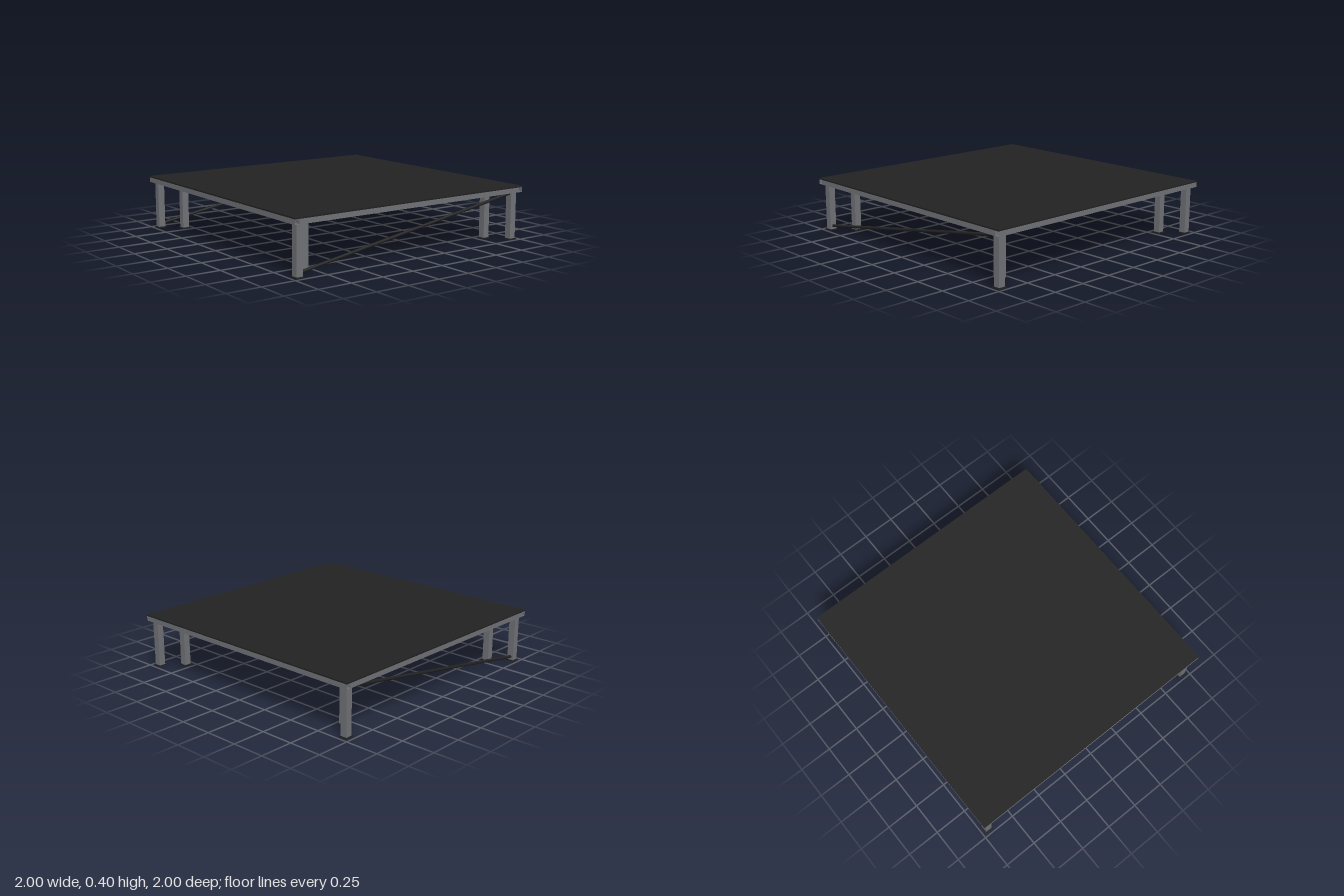
import * as THREE from 'three';

const steel = new THREE.MeshStandardMaterial({ color: 0x707277 });
steel.name = 'grey steel';
const black = new THREE.MeshStandardMaterial({ color: 0x222222 });
black.name = 'matte black';

const TOP = 0.4, DECK = 0.01, TUBE = 0.036, WALL = 0.003;
const LEG = 0.05, FOOT = 0.064, FOOT_H = 0.008;
const BEAM_Y = TOP - DECK - TUBE / 2;
const BEAM_BOTTOM = TOP - DECK - TUBE;

// Hollow square tube, centred, running along z
function tubeGeometry(length) {
  const square = (Type, h) => new Type([[-h, -h], [h, -h], [h, h], [-h, h]].map(([x, y]) => new THREE.Vector2(x, y)));
  const shape = square(THREE.Shape, TUBE / 2);
  shape.holes.push(square(THREE.Path, TUBE / 2 - WALL));
  const geometry = new THREE.ExtrudeGeometry(shape, { depth: length, bevelEnabled: false });
  return geometry.translate(0, 0, -length / 2);
}

export function createModel() {
  const model = new THREE.Group();
  model.name = 'stagePlatform';

  function add(name, geometry, material, x, y, z) {
    const mesh = new THREE.Mesh(geometry, material);
    mesh.name = name;
    mesh.position.set(x, y, z);
    model.add(mesh);
    return mesh;
  }

  // Deck board
  add('deck', new THREE.BoxGeometry(2, DECK, 2), black, 0, TOP - DECK / 2, 0);

  // Outer frame: open-ended front and back rails, side rails between them
  const inner = 2 - 2 * TUBE;
  const edge = 1 - TUBE / 2;
  for (const s of [-1, 1]) {
    add(s > 0 ? 'frontRail' : 'backRail', tubeGeometry(2), steel, 0, BEAM_Y, s * edge).rotation.y = Math.PI / 2;
    add(s > 0 ? 'leftRail' : 'rightRail', tubeGeometry(inner), steel, s * edge, BEAM_Y, 0);
  }

  // Under-deck grid: full cross beams, with short beams fitted between them
  const lines = [-0.81, 0, 0.81];
  const stops = [-1 + TUBE / 2, ...lines, 1 - TUBE / 2];
  for (const p of lines) {
    add('crossBeam', new THREE.BoxGeometry(inner, TUBE, TUBE), steel, 0, BEAM_Y, p);
    for (let i = 0; i < stops.length - 1; i++) {
      const length = stops[i + 1] - stops[i] - TUBE;
      add('shortBeam', new THREE.BoxGeometry(TUBE, TUBE, length), steel, p, BEAM_Y, (stops[i] + stops[i + 1]) / 2);
    }
  }

  // A pair of legs on the diagonal of each corner, each on a foot plate
  const legHeight = BEAM_BOTTOM - FOOT_H;
  for (const sx of [-1, 1]) for (const sz of [-1, 1]) for (const d of [0.81, 0.945]) {
    add('leg', new THREE.BoxGeometry(LEG, legHeight, LEG), steel, sx * d, FOOT_H + legHeight / 2, sz * d);
    add('footPlate', new THREE.BoxGeometry(FOOT, FOOT_H, FOOT), black, sx * d, FOOT_H / 2, sz * d);
  }

  // Diagonal side braces, low at the front and high at the back
  for (const s of [-1, 1]) {
    const low = new THREE.Vector3(s * 0.945, 0.032, 0.925);
    const high = new THREE.Vector3(s * 0.945, 0.343, -0.925);
    const span = high.clone().sub(low);
    const mid = low.clone().add(high).multiplyScalar(0.5);
    const brace = add('sideBrace', new THREE.CylinderGeometry(0.011, 0.011, span.length(), 16), black, mid.x, mid.y, mid.z);
    brace.quaternion.setFromUnitVectors(new THREE.Vector3(0, 1, 0), span.normalize());
  }

  return model;
}
